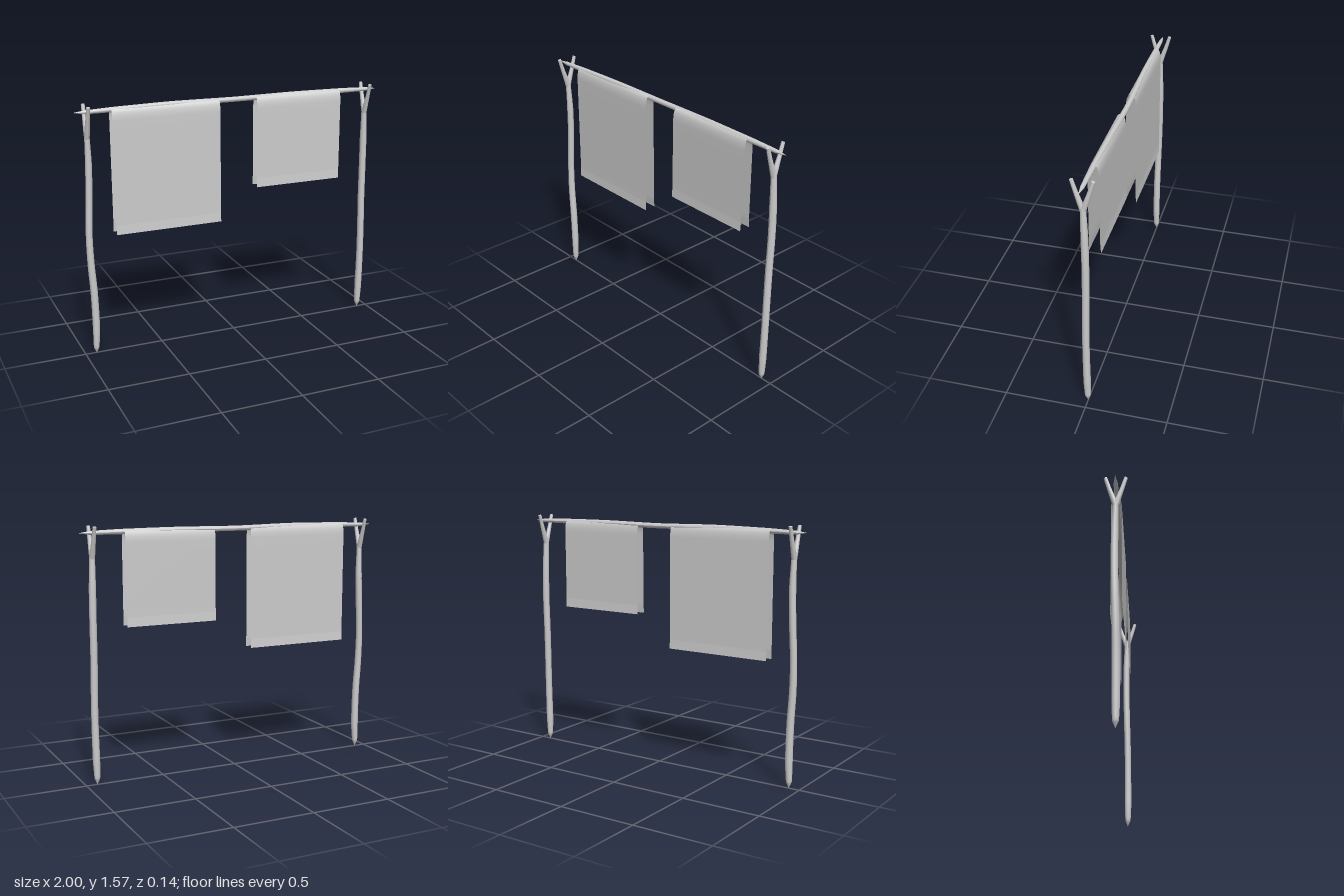
import * as THREE from 'three';

const material = new THREE.MeshStandardMaterial({ color: 0xcccccc });
const clothMaterial = new THREE.MeshStandardMaterial({ color: 0xcccccc, side: THREE.DoubleSide });

// Round branch through knots [x, y, z, radius]; 'side' is any axis across the branch
function branch(name, knots, side, rings = 40, sides = 12) {
  const path = new THREE.CatmullRomCurve3(knots.map(k => new THREE.Vector3(k[0], k[1], k[2])));
  const geometry = new THREE.CylinderGeometry(1, 1, 1, sides, rings);
  const pos = geometry.attributes.position;
  const u = new THREE.Vector3(), v = new THREE.Vector3();
  for (let i = 0; i < pos.count; i++) {
    const t = THREE.MathUtils.clamp(pos.getY(i) + 0.5, 0, 1);
    const p = path.getPoint(t), tangent = path.getTangent(t);
    const s = t * (knots.length - 1);
    const a = Math.min(Math.floor(s), knots.length - 2);
    const r = THREE.MathUtils.lerp(knots[a][3], knots[a + 1][3], s - a);
    u.crossVectors(side, tangent).normalize();
    v.crossVectors(tangent, u);
    p.addScaledVector(u, pos.getZ(i) * r).addScaledVector(v, pos.getX(i) * r);
    pos.setXYZ(i, p.x, p.y, p.z);
  }
  geometry.computeVertexNormals();
  const mesh = new THREE.Mesh(geometry, material);
  mesh.name = name;
  return mesh;
}

// Upright stake with a pointed foot and a forked head
function forkedPost(name, knots) {
  const group = new THREE.Group();
  group.name = name;
  const X = new THREE.Vector3(1, 0, 0);
  group.add(branch('stake', knots, X, 48));
  const [x, y, z] = knots[knots.length - 1];
  for (const s of [1, -1]) {
    group.add(branch(s > 0 ? 'frontProng' : 'backProng', [
      [x, y - 0.03, z, 0.016],
      [x, y + 0.02, z + s * 0.014, 0.016],
      [x, y + 0.09, z + s * 0.037, 0.013],
      [x, 1.567, z + s * 0.06, 0.011],
    ], X, 12, 10));
  }
  return group;
}

// Thin cloth folded over the pole, hanging evenly on both sides
function hangingCloth(name, x0, x1, bottom) {
  const profile = new THREE.CurvePath();
  const V = (z, y) => new THREE.Vector3(0, y, z);
  const hem = bottom + 0.06;
  profile.add(new THREE.LineCurve3(V(0.036, bottom), V(0.032, hem)));
  profile.add(new THREE.LineCurve3(V(0.032, hem), V(0.03, 1.47)));
  profile.add(new THREE.CubicBezierCurve3(V(0.03, 1.47), V(0.028, 1.52), V(0.018, 1.544), V(-0.002, 1.544)));
  profile.add(new THREE.CubicBezierCurve3(V(-0.002, 1.544), V(-0.022, 1.544), V(-0.033, 1.52), V(-0.034, 1.47)));
  profile.add(new THREE.LineCurve3(V(-0.034, 1.47), V(-0.034, hem)));
  profile.add(new THREE.LineCurve3(V(-0.034, hem), V(-0.038, bottom)));
  const points = profile.curves.flatMap((c, i) => c.getPoints(8).slice(i ? 1 : 0));
  const geometry = new THREE.PlaneGeometry(1, 1, 12, points.length - 1);
  const pos = geometry.attributes.position;
  for (let i = 0; i < pos.count; i++) {
    // rows run from the back hem over the pole to the front hem
    const p = points[Math.round((pos.getY(i) + 0.5) * (points.length - 1))];
    pos.setXYZ(i, THREE.MathUtils.lerp(x0, x1, pos.getX(i) + 0.5), p.y, p.z);
  }
  geometry.computeVertexNormals();
  const mesh = new THREE.Mesh(geometry, clothMaterial);
  mesh.name = name;
  return mesh;
}

export function createModel() {
  const model = new THREE.Group();
  model.name = 'clothesline';

  // Posts
  model.add(forkedPost('rightPost', [
    [-0.93, 0.005, 0.002, 0.001], [-0.93, 0.045, 0.003, 0.018], [-0.926, 0.16, 0.004, 0.023],
    [-0.929, 0.4, 0.004, 0.023], [-0.94, 0.6, 0.002, 0.022], [-0.942, 0.78, -0.002, 0.021],
    [-0.932, 1.0, -0.006, 0.021], [-0.925, 1.2, -0.005, 0.021], [-0.928, 1.4, 0, 0.016],
  ]));
  model.add(forkedPost('leftPost', [
    [0.93, 0.005, 0.002, 0.001], [0.93, 0.045, 0.003, 0.018], [0.932, 0.16, 0.004, 0.023],
    [0.935, 0.4, 0.004, 0.022], [0.934, 0.6, 0.002, 0.022], [0.932, 0.78, -0.002, 0.022],
    [0.933, 1.0, -0.006, 0.022], [0.931, 1.2, -0.005, 0.022], [0.926, 1.4, 0, 0.017],
  ]));

  // Cross pole resting in the forks
  model.add(branch('pole', [
    [-1, 1.53, 0, 0.001], [-0.93, 1.529, 0, 0.012], [-0.75, 1.532, 0, 0.016],
    [-0.4, 1.536, -0.002, 0.017], [0, 1.531, -0.011, 0.016], [0.4, 1.534, -0.006, 0.017],
    [0.75, 1.532, -0.002, 0.016], [0.93, 1.53, -0.002, 0.012], [1, 1.53, -0.002, 0.001],
  ], new THREE.Vector3(0, 1, 0), 48));

  // Cloths
  model.add(hangingCloth('largeCloth', -0.78, -0.1, 0.77));
  model.add(hangingCloth('smallCloth', 0.147, 0.73, 0.965));
  return model;
}
